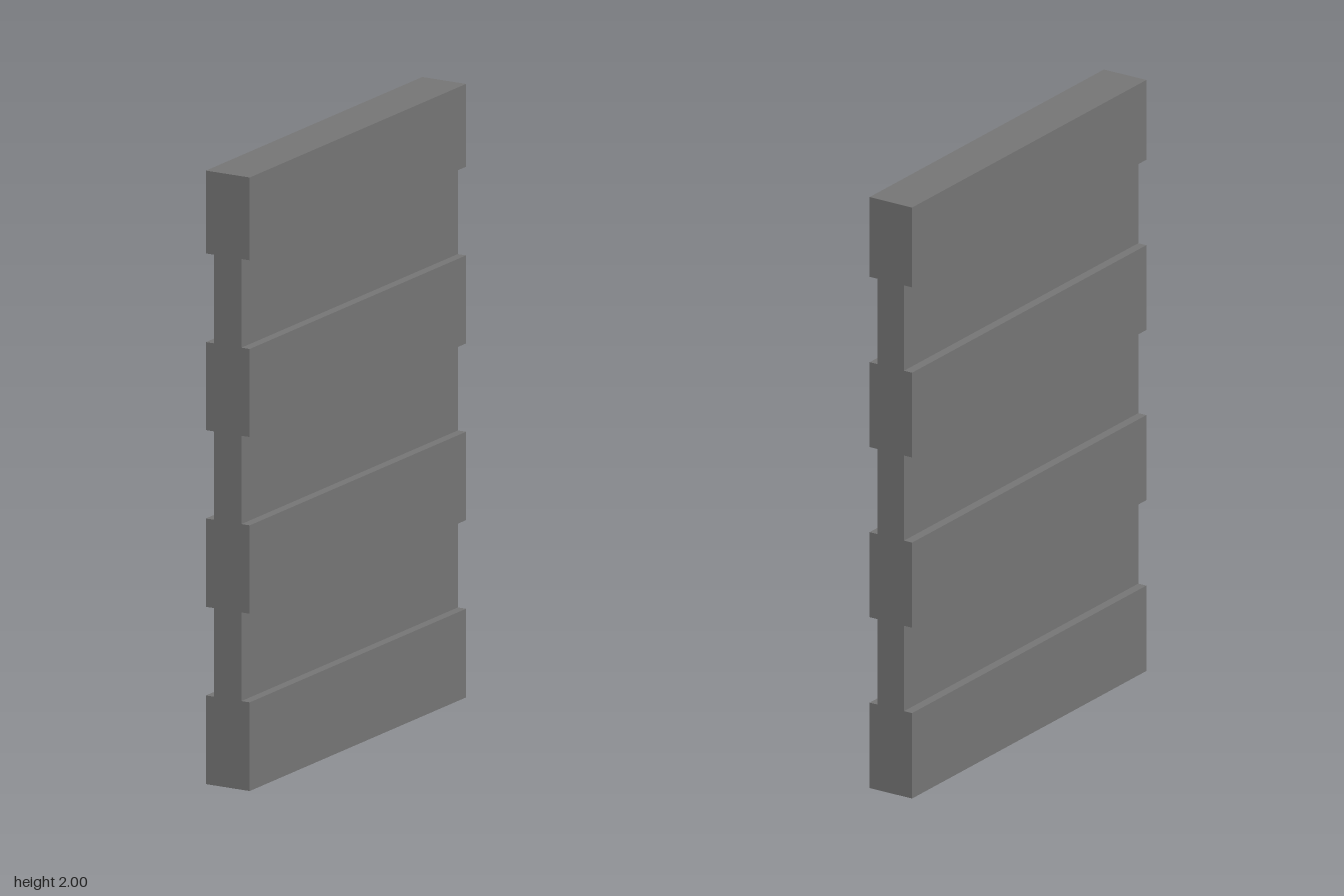
import * as THREE from 'three';

// A slatted wall panel: thick and thin horizontal planks stacked in turn
export function createModel() {
  const panel = new THREE.Group();
  panel.name = 'plankPanel';
  const material = new THREE.MeshStandardMaterial({ color: 0x767676 });

  const length = 1.316;
  const thick = 0.161;
  const thin = 0.1;
  const levels = [0, 0.289, 0.578, 0.866, 1.154, 1.441, 1.73, 2];

  for (let i = 0; i < levels.length - 1; i++) {
    const height = levels[i + 1] - levels[i];
    const raised = i % 2 === 0;
    const plank = new THREE.Mesh(
      new THREE.BoxGeometry(raised ? thick : thin, height, length),
      material
    );
    plank.position.y = levels[i] + height / 2;
    plank.name = raised ? 'raisedPlank' : 'recessedPlank';
    panel.add(plank);
  }

  // The whole panel stands turned a little about the vertical
  panel.rotation.y = THREE.MathUtils.degToRad(-15.7);
  const root = new THREE.Group();
  root.name = 'panel';
  root.add(panel);
  return root;
}
